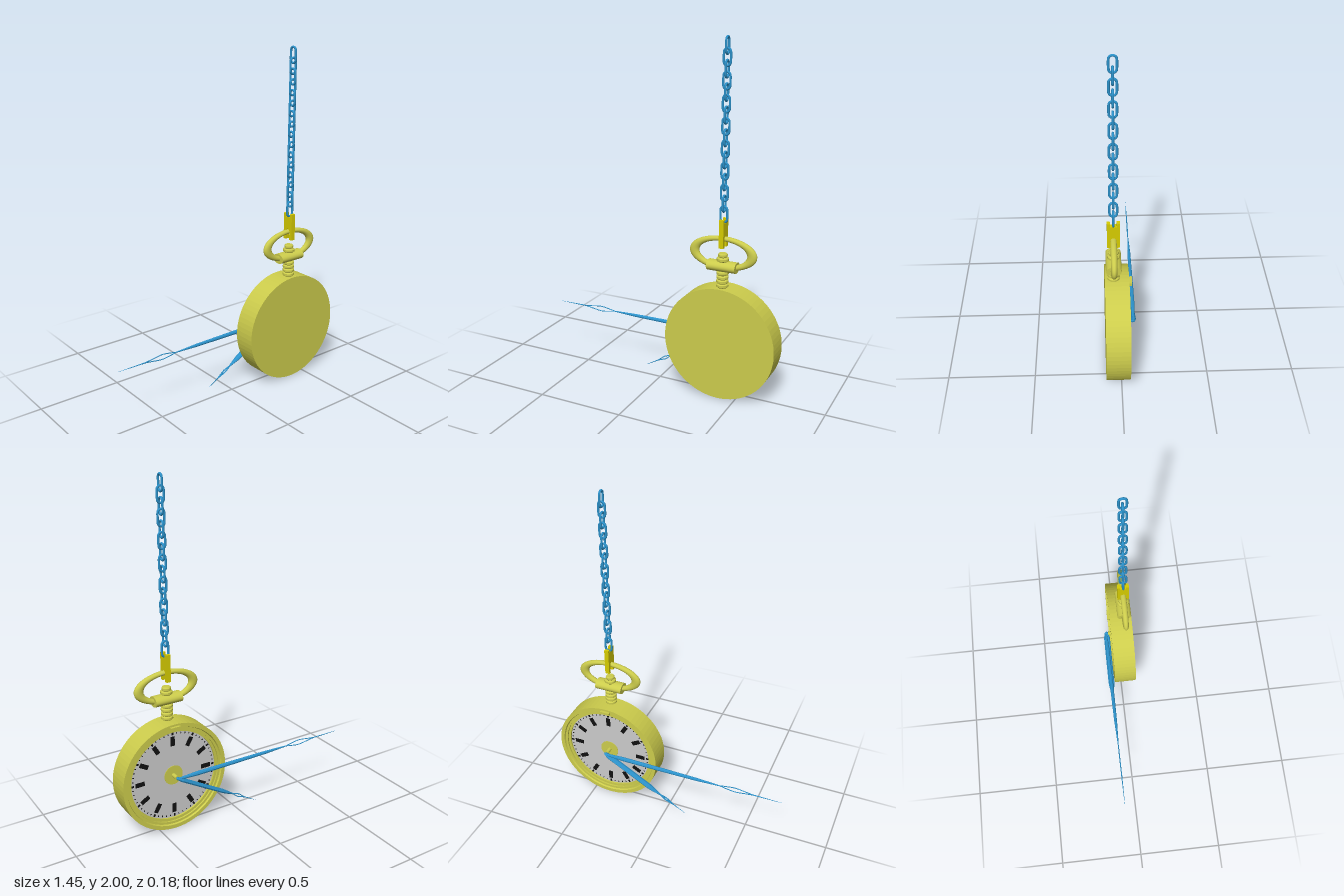
import * as THREE from 'three';

const CX = 0.4, CY = 0.325, CZ = 0.04; // watch axis, and depth of the crown and chain
const mat = (color, flatShading = false) => new THREE.MeshStandardMaterial({ color, flatShading });
const gold = mat(0xcccc4c), goldFlat = mat(0xcccc4c, true), brightGold = mat(0xd6cc00);
const blue = mat(0x2c93cc), blueFlat = mat(0x2c93cc, true);
const grey = mat(0xcccccc), black = mat(0x111111);

function add(parent, name, geometry, material, x = 0, y = 0, z = 0) {
  const mesh = new THREE.Mesh(geometry, material);
  mesh.name = name;
  mesh.position.set(x, y, z);
  parent.add(mesh);
  return mesh;
}

function group(parent, name, x = 0, y = 0, z = 0) {
  const g = new THREE.Group();
  g.name = name;
  g.position.set(x, y, z);
  parent.add(g);
  return g;
}

const lathe = (pts, sides) =>
  new THREE.LatheGeometry(pts.map(([r, h]) => new THREE.Vector2(r, h)), sides);

// Case with a stepped rim around the recessed dial, which faces -z
function buildCase(root) {
  const g = group(root, 'case', CX, CY);
  const shell = lathe([
    [0.268, -0.012], [0.268, -0.026], [0.284, -0.026], [0.284, -0.036],
    [0.298, -0.036], [0.302, -0.046], [0.325, -0.046], [0.325, 0.088], [0, 0.088],
  ], 72).rotateX(Math.PI / 2);
  add(g, 'shell', shell, goldFlat);
  add(g, 'latch', new THREE.BoxGeometry(0.06, 0.016, 0.02), gold, 0, 0.305, -0.051);

  add(g, 'dial', new THREE.CircleGeometry(0.27, 72).rotateY(Math.PI), grey, 0, 0, -0.015);
  const disc = new THREE.CylinderGeometry(0.058, 0.058, 0.004, 40).rotateX(Math.PI / 2);
  add(g, 'dialCentre', disc, gold, 0, 0, -0.016);
  const pin = new THREE.CylinderGeometry(0.012, 0.012, 0.045, 20).rotateX(Math.PI / 2);
  add(g, 'pin', pin, gold, 0, 0, -0.036);

  // Hour bars and minute ticks
  for (let i = 0; i < 60; i++) {
    const a = (i / 60) * Math.PI * 2, hour = i % 5 === 0;
    const place = (name, w, h, r) => {
      const m = add(g, name, new THREE.BoxGeometry(w, h, 0.004), black,
        Math.sin(a) * r, Math.cos(a) * r, -0.016);
      m.rotation.z = -a;
    };
    place('minuteTick', hour ? 0.01 : 0.004, hour ? 0.016 : 0.008, 0.256);
    if (hour) place('hourBar', 0.026, 0.056, 0.21);
  }
}

// Hand pointing along +y before turning: faceted body, open leaf and fine tip
function buildHand(root, name, angle, z, { body, depth, leaf, bulge, leafDepth, length }) {
  const g = group(root, name, CX, CY, z);
  g.rotation.z = angle;
  add(g, 'body', lathe(body, 8), blueFlat).scale.z = depth;
  const [s0, s1] = leaf, mid = s0 + (s1 - s0) * 0.45;
  for (const side of [-1, 1]) {
    const curve = new THREE.CatmullRomCurve3([
      [0, s0], [side * bulge * 0.6, s0 + (mid - s0) * 0.5], [side * bulge, mid],
      [side * bulge * 0.4, mid + (s1 - mid) * 0.6], [0, s1],
    ].map(([x, y]) => new THREE.Vector3(x, y, 0)));
    add(g, 'leaf', new THREE.TubeGeometry(curve, 24, 0.0025, 6), blue).scale.z = leafDepth;
  }
  const tip = new THREE.CylinderGeometry(0.0006, 0.0035, length - s1 + 0.01, 6);
  add(g, 'tip', tip, blueFlat, 0, (length + s1 - 0.01) / 2);
}

// Ribbed stem, cross barrel, crown button and the oval bow
function buildCrown(root) {
  const g = group(root, 'crown', CX, 0, CZ);
  add(g, 'stem', new THREE.CylinderGeometry(0.023, 0.023, 0.13, 24), gold, 0, 0.695);
  const ribProfile = (r, h) => lathe(
    [[0, -h], [r * 0.8, -h], [r, -h * 0.5], [r, h * 0.5], [r * 0.8, h], [0, h]], 24);
  for (let i = 0; i < 4; i++)
    add(g, 'stemRib', ribProfile(0.034, 0.0115), goldFlat, 0, 0.662 + i * 0.024);

  const barrel = new THREE.CylinderGeometry(0.03, 0.03, 0.165, 32).rotateZ(Math.PI / 2);
  add(g, 'barrel', barrel, gold, 0, 0.772).scale.z = 1.4;
  add(g, 'buttonBase', ribProfile(0.034, 0.012), goldFlat, 0, 0.812);
  add(g, 'buttonTop', ribProfile(0.026, 0.012), goldFlat, 0, 0.834);

  const bow = new THREE.TorusGeometry(0.168, 0.028, 16, 64).scale(1, 0.49, 0.6);
  add(g, 'bow', bow, gold, 0, 0.846);
}

// Clasp plate, cut open below to hook over the bow and notched above for the chain
function buildClasp(root) {
  const s = new THREE.Shape();
  s.moveTo(-0.034, 0.88);
  s.lineTo(-0.015, 0.88);
  s.lineTo(-0.015, 0.93);
  s.absarc(0, 0.93, 0.015, Math.PI, 0, true);
  s.lineTo(0.015, 0.88);
  for (const [x, y] of [[0.034, 0.88], [0.034, 1.038], [0.018, 1.038], [0.018, 1.018],
    [-0.018, 1.018], [-0.018, 1.038], [-0.034, 1.038]]) s.lineTo(x, y);
  const geo = new THREE.ExtrudeGeometry(s, { depth: 0.026, bevelEnabled: false, curveSegments: 12 });
  geo.translate(0, 0, -0.013).rotateY(Math.PI / 2);
  add(root, 'clasp', geo, brightGold, CX, 0, CZ);
}

// Chain of stadium links, each turned a quarter from the last
function buildChain(root) {
  const g = group(root, 'chain', CX, 0, CZ);
  const wire = 0.0065, r = 0.019, half = 0.025, pts = [];
  for (let i = 0; i < 24; i++) {
    const a = ((i + 0.5) / 24) * Math.PI * 2;
    pts.push(new THREE.Vector3(Math.cos(a) * r, Math.sin(a) * r + Math.sign(Math.sin(a)) * half, 0));
  }
  const link = new THREE.TubeGeometry(new THREE.CatmullRomCurve3(pts, true), 40, wire, 8, true);
  for (let i = 0; i < 16; i++)
    add(g, 'link', link, blue, 0, 1.064 + i * 0.059, 0).rotation.y = (i % 2) * Math.PI / 2;
}

export function createModel() {
  const root = new THREE.Group();
  root.name = 'pocketWatch';
  buildCase(root);
  buildHand(root, 'longHand', Math.PI / 2, -0.073, {
    body: [[0, -0.008], [0.007, 0], [0.013, 0.12], [0.012, 0.35], [0.0095, 0.6], [0.003, 0.75], [0, 0.76]],
    depth: 0.95, leaf: [0.745, 0.96], bulge: 0.015, leafDepth: 1.2, length: 1.13,
  });
  buildHand(root, 'shortHand', Math.PI * 2 / 3, -0.069, {
    body: [[0, -0.015], [0.008, -0.004], [0.0125, 0.03], [0.0125, 0.33], [0.0105, 0.36], [0.0025, 0.43], [0, 0.435]],
    depth: 1.55, leaf: [0.42, 0.52], bulge: 0.008, leafDepth: 2.2, length: 0.61,
  });
  buildCrown(root);
  buildClasp(root);
  buildChain(root);
  return root;
}
